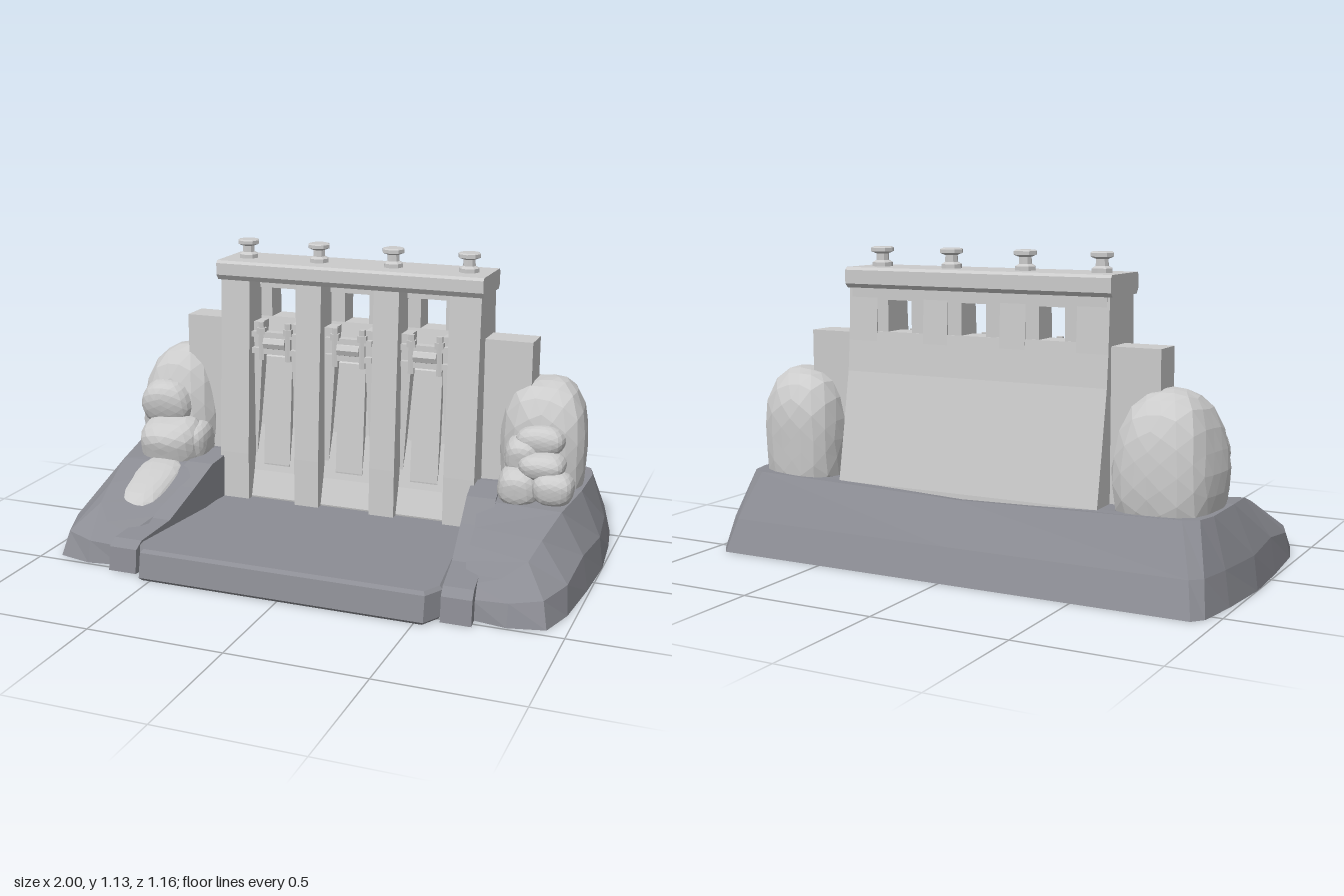
import * as THREE from 'three';

const light = new THREE.MeshStandardMaterial({ color: 0xcccccc, flatShading: true, side: THREE.DoubleSide });
const dark = new THREE.MeshStandardMaterial({ color: 0x8c8d94, flatShading: true, side: THREE.DoubleSide });

function add(parent, name, geo, mat = light, x = 0, y = 0, z = 0) {
  const m = new THREE.Mesh(geo, mat);
  m.name = name;
  m.position.set(x, y, z);
  parent.add(m);
  return m;
}

const shapeOf = pts => new THREE.Shape(pts.map(p => new THREE.Vector2(p[0], p[1])));

// Side profile of [z, y] points, swept along x and centred on x = 0
function sweep(pts, width) {
  const g = new THREE.ExtrudeGeometry(shapeOf(pts), { depth: width, bevelEnabled: false });
  g.translate(0, 0, -width / 2);
  g.rotateY(-Math.PI / 2);
  return g;
}

// Rounded, slightly boxy stone; it narrows upward and its front is shifted sideways by shear
function stone(sx, sy, sz, seed, taper = 0.08, power = 2.8, shear = 0) {
  const g = new THREE.IcosahedronGeometry(1, 3);
  const p = g.attributes.position;
  for (let i = 0; i < p.count; i++) {
    const x = p.getX(i), y = p.getY(i), z = p.getZ(i);
    const n = Math.pow(Math.abs(x) ** power + Math.abs(y) ** power + Math.abs(z) ** power, -1 / power);
    const lump = 1 + 0.03 * Math.sin(4 * x + seed) * Math.cos(3.4 * z - seed) + 0.02 * Math.sin(5 * y + 2 * seed);
    const k = n * lump, t = 1 - taper * Math.max(y, 0);
    p.setXYZ(i, x * k * sx * t + shear * z, y * k * sy, z * k * sz * Math.min(t + 0.06, 1));
  }
  g.computeVertexNormals();
  return g;
}

// Hill shell: each station runs from the foot through the slope and crest to the inner edge
function hillGeometry() {
  const half = [
    [[0.68, 0, 0.47], [0.67, 0.07, 0.46], [0.66, 0.11, 0.42], [0.62, 0.12, 0.36]],
    [[0.80, 0, 0.49], [0.80, 0.08, 0.47], [0.76, 0.14, 0.41], [0.61, 0.15, 0.32]],
    [[0.93, 0, 0.46], [0.91, 0.09, 0.43], [0.83, 0.18, 0.33], [0.60, 0.18, 0.25]],
    [[0.97, 0, 0.32], [0.96, 0.10, 0.29], [0.85, 0.22, 0.22], [0.59, 0.21, 0.15]],
    [[0.99, 0, 0.08], [0.97, 0.13, 0.08], [0.88, 0.27, 0.05], [0.56, 0.26, 0]],
    [[1, 0, -0.15], [0.985, 0.12, -0.15], [0.91, 0.29, -0.15], [0.52, 0.28, -0.15]],
    [[0.98, 0, -0.38], [0.96, 0.12, -0.37], [0.91, 0.29, -0.35], [0.52, 0.28, -0.30]],
    [[0.955, 0, -0.54], [0.935, 0.12, -0.50], [0.89, 0.29, -0.425], [0.52, 0.28, -0.37]],
    [[0.92, 0, -0.58], [0.895, 0.12, -0.535], [0.84, 0.29, -0.455], [0.51, 0.28, -0.39]],
    [[0, 0, -0.58], [0, 0.12, -0.535], [0, 0.27, -0.455], [0, 0.26, -0.39]],
  ];
  const mirrored = half.slice(0, -1).reverse().map(s => s.map(([x, y, z]) => [-x, y, z]));
  const stations = half.concat(mirrored);
  const index = [];
  for (let i = 0; i < stations.length - 1; i++) {
    for (let j = 0; j < 3; j++) {
      const a = i * 4 + j, b = a + 4;
      index.push(a, b, a + 1, b, b + 1, a + 1);
    }
  }
  const g = new THREE.BufferGeometry();
  g.setAttribute('position', new THREE.Float32BufferAttribute(stations.flat(2), 3));
  g.setIndex(index);
  g.computeVertexNormals();
  return g;
}

// Frame, side fins and lifting gear inside one bay
function makeBay(x) {
  const bay = new THREE.Group();
  bay.name = 'gateBay';
  bay.position.x = x;
  for (const s of [-1, 1]) {
    add(bay, 'windowJamb', new THREE.BoxGeometry(0.055, 0.14, 0.09), light, s * 0.077, 0.89, -0.275);
    const pts = [[0.11, 0.12], [0.095, 0.16], [0.08, 0.4], [0.062, 0.68], [0.062, 0.82], [0.11, 0.82]];
    const fin = new THREE.ExtrudeGeometry(shapeOf(pts.map(p => [p[0] * s, p[1]])), { depth: 0.08, bevelEnabled: false });
    add(bay, 'sideFin', fin, light, 0, 0, -0.235);
    add(bay, 'liftPost', new THREE.CylinderGeometry(0.013, 0.013, 0.15, 6), light, s * 0.055, 0.75, -0.14);
    add(bay, 'postNut', new THREE.CylinderGeometry(0.02, 0.02, 0.025, 6), light, s * 0.055, 0.79, -0.14);
  }
  for (const y of [0.71, 0.775]) {
    add(bay, 'crossBar', new THREE.BoxGeometry(0.19, 0.022, 0.035), light, 0, y, -0.15);
  }
  const drum = add(bay, 'liftDrum', new THREE.CylinderGeometry(0.028, 0.028, 0.09, 8), light, 0, 0.742, -0.15);
  drum.rotation.z = Math.PI / 2;
  add(bay, 'gatePanel', sweep([[-0.15, 0.2], [-0.145, 0.25], [-0.18, 0.68], [-0.21, 0.7], [-0.21, 0.2]], 0.11));
  return bay;
}

export function createModel() {
  const model = new THREE.Group();
  model.name = 'dam';

  // Ground
  add(model, 'hill', hillGeometry(), dark);

  // Apron: solid front block with a thinner slab reaching back under the gates
  const outline = [[-0.515, -0.08], [0.515, -0.08], [0.565, -0.50], [0.53, -0.566], [-0.53, -0.566], [-0.565, -0.50]];
  const apron = new THREE.ExtrudeGeometry(shapeOf(outline), {
    depth: 0.091, bevelThickness: 0.012, bevelSize: 0.012, bevelSegments: 1,
  });
  apron.rotateX(-Math.PI / 2);
  const ap = apron.attributes.position;
  for (let i = 0; i < ap.count; i++) if (ap.getY(i) > 0.08 && ap.getZ(i) > 0.4) ap.setZ(i, ap.getZ(i) - 0.016);
  apron.computeVertexNormals();
  add(model, 'apron', apron, dark, 0, 0.012, 0);
  add(model, 'apronSlab', new THREE.BoxGeometry(1.03, 0.035, 0.32), dark, 0, 0.0965, -0.04);

  // Dam wall, hollow underneath, with the header above the windows
  add(model, 'damWall', sweep([
    [-0.14, 0], [-0.11, 0.12], [-0.14, 0.22], [-0.18, 0.4], [-0.205, 0.7], [-0.23, 0.83], [-0.325, 0.83],
    [-0.338, 0.68], [-0.375, 0.47], [-0.41, 0.28], [-0.415, 0], [-0.365, 0], [-0.365, 0.25], [-0.2, 0.25], [-0.19, 0],
  ], 1.04));
  add(model, 'windowHeader', new THREE.BoxGeometry(1.02, 0.06, 0.1), light, 0, 0.975, -0.27);
  add(model, 'cap', sweep([
    [-0.115, 0.985], [-0.1, 1.005], [-0.1, 1.05], [-0.11, 1.06], [-0.325, 1.06], [-0.335, 1.05],
    [-0.335, 1.0], [-0.32, 0.985],
  ], 1.06));

  // Piers, each crowned by a bollard
  const bollard = [[0, 1.05], [0.038, 1.05], [0.038, 1.075], [0.024, 1.083], [0.023, 1.107], [0.043, 1.115],
    [0.043, 1.128], [0.036, 1.132], [0, 1.132]].map(p => new THREE.Vector2(...p));
  for (const x of [-0.46, -0.155, 0.155, 0.46]) {
    const w = Math.abs(x) > 0.3 ? 0.12 : 0.1;
    add(model, 'pier', sweep([
      [-0.08, 0], [-0.085, 0.3], [-0.122, 0.99], [-0.318, 0.99], [-0.333, 0.7], [-0.37, 0.45], [-0.38, 0],
    ], w), light, x);
    add(model, 'bollard', new THREE.LatheGeometry(bollard, 8), light, x * 0.965, 0, -0.215);
  }
  for (const x of [-0.305, 0, 0.305]) model.add(makeBay(x));

  // Abutments, training walls and boulders on both sides
  for (const s of [-1, 1]) {
    add(model, 'abutment', new THREE.BoxGeometry(0.19, 0.72, 0.12), light, s * 0.605, 0.46, -0.245);
    const wall = sweep([
      [-0.14, 0], [-0.14, 0.29], [0, 0.27], [0.13, 0.21], [0.3, 0.135], [0.48, 0.115], [0.515, 0.09], [0.525, 0],
    ], 0.11);
    const p = wall.attributes.position;
    for (let i = 0; i < p.count; i++) p.setX(i, p.getX(i) + s * (0.572 + 0.12 * p.getZ(i)));
    wall.computeVertexNormals();
    add(model, 'trainingWall', wall, dark);
    add(model, 'boulder', stone(0.168, 0.26, 0.17, s + 2, 0.14, 3.1, s * 0.025), light, s * 0.735, 0.42, -0.275);
  }

  // Stones in front of the boulders: [x, y, z, width, height, depth, tilt]
  const stones = [
    [0.83, 0.33, -0.03, 0.075, 0.06, 0.07, 0], [0.70, 0.32, -0.05, 0.08, 0.07, 0.08, 0.2],
    [0.78, 0.40, -0.06, 0.085, 0.05, 0.07, 0.1], [0.70, 0.42, -0.10, 0.07, 0.07, 0.07, 0.2],
    [0.76, 0.48, -0.11, 0.09, 0.055, 0.06, 0],
    [-0.73, 0.32, -0.08, 0.13, 0.1, 0.11, 0.3], [-0.77, 0.46, -0.13, 0.11, 0.1, 0.07, 0.3],
    [-0.65, 0.32, -0.11, 0.07, 0.08, 0.09, 0.2], [-0.72, 0.2, 0.14, 0.1, 0.045, 0.18, 0.32],
  ];
  stones.forEach(([x, y, z, w, h, d, tilt], i) => {
    add(model, 'stone', stone(w, h, d, i * 1.7), light, x, y, z).rotation.x = tilt;
  });

  return model;
}
